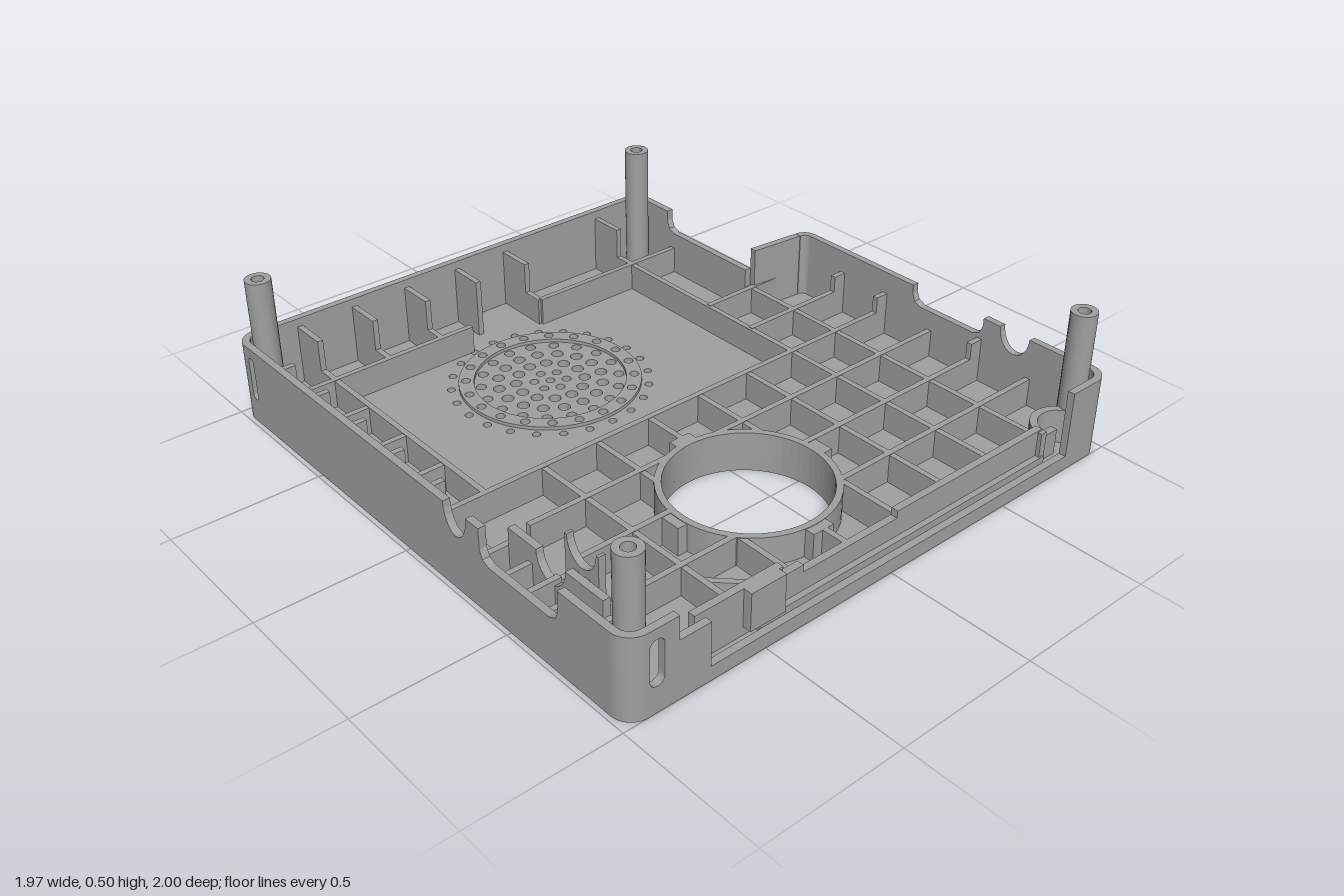
import * as THREE from 'three';

const FLOOR = 0.04, RIM = 0.28, T = 0.025, X = 0.985, RIB = 0.14;
const HOLE = { x: -0.135, z: 0.54, r: 0.26 };
const GRILLE = { x: -0.135, z: -0.435 };

export function createModel() {
  const model = new THREE.Group();
  model.name = 'enclosureHalf';
  const grey = new THREE.MeshStandardMaterial({ color: 0xa0a0a0 });
  grey.name = 'grey plastic';

  const add = (name, geometry) => {
    const mesh = new THREE.Mesh(geometry, grey);
    mesh.name = name;
    model.add(mesh);
    return mesh;
  };

  // Plan shape (x, z) raised from y0 to y1
  const slab = (name, shape, y0, y1, curveSegments = 12) => {
    const g = new THREE.ExtrudeGeometry(shape, { depth: y1 - y0, bevelEnabled: false, curveSegments });
    g.rotateX(Math.PI / 2).translate(0, y1, 0);
    return add(name, g);
  };
  const circle = (x, z, r) => new THREE.Path().absarc(x, z, r, 0, Math.PI * 2, false);
  const ring = (x, z, outer, inner) => {
    const s = new THREE.Shape().absarc(x, z, outer, 0, Math.PI * 2, false);
    s.holes.push(circle(x, z, inner));
    return s;
  };

  // Upright panel from a to b (x, z); top and slots are given along its length, thickness goes to the right of a->b
  const panel = (name, a, b, top, slots = [], base = FLOOR, thick = T) => {
    const dx = b[0] - a[0], dz = b[1] - a[1], len = Math.hypot(dx, dz);
    const pts = [[0, base], [0, top.start ?? RIM], ...top, [len, top.end ?? RIM], [len, base]];
    const s = new THREE.Shape(pts.map(p => new THREE.Vector2(p[0], p[1])));
    for (const [u, w] of slots) {
      const h = new THREE.Path(), r = w / 2;
      h.absarc(u, 0.245 - r, r, 0, Math.PI, false);
      h.absarc(u, 0.09 + r, r, Math.PI, Math.PI * 2, false);
      h.closePath();
      s.holes.push(h);
    }
    const m = add(name, new THREE.ExtrudeGeometry(s, { depth: thick, bevelEnabled: false }));
    m.position.set(a[0], 0, a[1]);
    m.rotation.y = Math.atan2(-dz, dx);
    return m;
  };
  // Curved cut in a panel's top edge
  const bite = (u0, u1, y, rim = RIM) => Array.from({ length: 13 }, (_, i) => {
    const t = Math.PI * i / 12;
    return [(u0 + u1) / 2 - (u1 - u0) / 2 * Math.cos(t), rim - (rim - y) * Math.sin(t)];
  });
  // Flat cut with rounded lower corners
  const dip = (u0, u1, y, r = 0.04) => [
    [u0, RIM], [u0, y + r], [u0 + r * 0.3, y + r * 0.3], [u0 + r, y],
    [u1 - r, y], [u1 - r * 0.3, y + r * 0.3], [u1, y + r], [u1, RIM]];

  // Floor with the round opening and the grille
  const floor = new THREE.Shape();
  floor.moveTo(-0.915, -1).lineTo(0.66, -1);
  floor.absarc(0.66, -0.93, 0.07, -Math.PI / 2, 0, false);
  floor.lineTo(0.73, -0.37).lineTo(0.935, -0.35);
  floor.absarc(0.935, -0.3, 0.05, -Math.PI / 2, 0, false);
  floor.absarc(0.915, 0.93, 0.07, 0, Math.PI / 2, false);
  floor.absarc(-0.915, 0.93, 0.07, Math.PI / 2, Math.PI, false);
  floor.absarc(-0.915, -0.93, 0.07, Math.PI, Math.PI * 1.5, false);
  floor.holes.push(new THREE.Path(circle(HOLE.x, HOLE.z, HOLE.r).getPoints(48)));
  const rings = [[0, 1, 0.016], [0.055, 6, 0.016], [0.117, 12, 0.021], [0.178, 16, 0.021],
    [0.235, 18, 0.018], [0.285, 20, 0.016], [0.335, 24, 0.014]];
  const grilleHoles = ([r, n, size]) => Array.from({ length: n }, (_, i) => {
    const a = Math.PI / 2 + i * Math.PI * 2 / n;
    return new THREE.Path(circle(GRILLE.x + r * Math.cos(a), GRILLE.z + r * Math.sin(a), size).getPoints(6));
  });
  rings.forEach(r => floor.holes.push(...grilleHoles(r)));
  slab('floor', floor, 0, FLOOR);

  // Raised band around the grille
  const band = ring(GRILLE.x, GRILLE.z, 0.31, 0.258);
  band.holes.push(...grilleHoles(rings[5]));
  slab('grilleBand', band, FLOOR, FLOOR + 0.012, 32);

  // Outer walls, clockwise seen from above
  panel('backWall', [-0.915, -1], [0.66, -1], [], [[0.03, 0.05]]);
  panel('notchSideWall', [0.73, -0.93], [0.73, -0.37],
    Object.assign([[0.13, RIM], [0.13, 0.24], [0.142, 0.212], [0.17, 0.2]], { end: 0.2 }));
  panel('notchWall', [0.73, -0.37], [0.935, -0.35], []);
  panel('leftWall', [X, -0.3], [X, 0.93], [...dip(0.5, 0.81, 0.21), ...bite(0.88, 1.0, 0.2)]);
  panel('frontWall', [0.915, 1], [-0.915, 1],
    [[0.115, RIM], [0.115, 0.05], [1.615, 0.05], [1.615, 0.2], [1.725, 0.2], [1.725, RIM]], [[1.8, 0.05]]);
  panel('rightWall', [-X, 0.93], [-X, -0.93],
    [...dip(0.21, 0.56, 0.17), ...bite(0.62, 0.73, 0.19)], [[1.83, 0.03]]);

  // Rounded corners of the outer wall
  for (const [x, z, r, a] of [[0.66, -0.93, 0.07, -0.5], [0.935, -0.3, 0.05, -0.5],
    [0.915, 0.93, 0.07, 0], [-0.915, 0.93, 0.07, 0.5], [-0.915, -0.93, 0.07, 1]]) {
    const s = new THREE.Shape(), a0 = a * Math.PI, a1 = a0 + Math.PI / 2;
    s.absarc(x, z, r, a0, a1, false);
    s.absarc(x, z, r - T, a1, a0, true);
    slab('wallCorner', s, FLOOR, RIM);
  }

  // Stepped ledges set back behind the low part of the front wall
  panel('frontLedge', [0.72, 0.975], [-0.5, 0.975], { ...[], start: 0.075, end: 0.075, *[Symbol.iterator]() {} }, [], FLOOR, 0.02);
  panel('frontInnerWall', [0.8, 0.955], [-0.72, 0.955],
    Object.assign([[0.08, 0.13], [0.08, 0.165], [0.74, 0.165], [0.74, RIB], [1.12, RIB], [1.12, 0.165],
      [1.2, 0.165], [1.2, 0.2]], { start: 0.13, end: 0.2 }));
  const box = (name, x, y, z, w, h, d) => add(name, new THREE.BoxGeometry(w, h, d).translate(x, y, z));
  box('frontCatch', -0.48, 0.135, 0.97, 0.13, 0.13, 0.03);

  // Corner posts with screw holes
  for (const [x, z] of [[-0.91, -0.925], [0.66, -0.925], [-0.91, 0.92], [0.91, 0.92]]) {
    const profile = [[0.02, 0.03], [0.043, 0.03], [0.043, 0.5], [0.02, 0.5], [0.02, 0.03]];
    const g = new THREE.CylinderGeometry(0.043, 0.043, 0.47, 24, 1, true);
    add('cornerPost', g.translate(x, 0.265, z));
    slab('postTop', ring(x, z, 0.043, 0.021), 0.42, 0.5, 24);
    const bore = new THREE.CircleGeometry(0.022, 16).rotateX(-Math.PI / 2);
    add('postBore', bore.translate(x, profile[2][1] - 0.06, z));
  }

  // Collar around the opening, with four small keys
  slab('openingCollar', ring(HOLE.x, HOLE.z, 0.282, HOLE.r), FLOOR, RIB, 32);
  for (let i = 0; i < 4; i++) {
    const a = i * Math.PI / 2, c = Math.cos(a), s = Math.sin(a);
    const w = 0.05 + 0.03 * Math.abs(s), d = 0.05 + 0.03 * Math.abs(c);
    box('collarKey', HOLE.x + 0.288 * c, 0.088, HOLE.z + 0.288 * s, w, 0.1, d);
  }

  // Straight ribs, interrupted where they cross the opening
  const W = 0.02;
  const ribX = (z, x0, x1, h = RIB, name = 'crossRib') => {
    const k = 0.272 ** 2 - (z - HOLE.z) ** 2, e = k > 0 ? Math.sqrt(k) : 0;
    const parts = e && x0 < HOLE.x && x1 > HOLE.x ? [[x0, HOLE.x - e], [HOLE.x + e, x1]] : [[x0, x1]];
    for (const [p, q] of parts) box(name, (p + q) / 2, (FLOOR + h) / 2, z, q - p, h - FLOOR, W);
  };
  const ribZ = (x, z0, z1, h = RIB - 0.002, name = 'lengthRib') => {
    const k = 0.272 ** 2 - (x - HOLE.x) ** 2, e = k > 0 ? Math.sqrt(k) : 0;
    const parts = e && z0 < HOLE.z && z1 > HOLE.z ? [[z0, HOLE.z - e], [HOLE.z + e, z1]] : [[z0, z1]];
    for (const [p, q] of parts) box(name, x, (FLOOR + h) / 2, (p + q) / 2, W, h - FLOOR, q - p);
  };

  // Frame around the speaker bay
  ribX(-0.77, -0.965, -0.22);
  ribX(-0.77, 0.08, 0.71);
  ribX(0.075, -0.965, 0.965);
  ribZ(-0.76, -0.98, 0.075);
  ribZ(0.505, -0.98, 0.94);

  // Grid of the front bay
  for (const z of [0.285, 0.5]) ribX(z, -0.76, 0.965);
  ribX(0.71, -0.85, 0.965);
  ribX(0.925, -0.72, 0.7, 0.12);
  for (const x of [-0.55, -0.34, -0.13, 0.08, 0.295]) ribZ(x, 0.075, 0.94);
  ribZ(0.715, -0.36, 0.94);
  for (const z of [-0.345, -0.13]) ribX(z, 0.505, 0.965);

  // Tall gussets on the back and side walls
  for (const x of [-0.76, -0.55, -0.34, -0.13, 0.08, 0.505]) ribZ(x, -0.98, -0.845, 0.25, 'backGusset');
  for (const x of [-0.55, -0.34, 0.08]) ribZ(x, -0.845, -0.77);
  for (const z of [-0.77, -0.56, -0.345, -0.135, 0.075]) {
    ribX(z, -0.965, -0.76, RIB - 0.004);
    ribX(z, -0.965, -0.9, 0.25, 'sideGusset');
  }
  for (const z of [-0.13, 0.075, 0.5]) ribX(z, 0.91, 0.965, 0.2, 'sideGusset');

  // Port bay inside the right wall, with two cable cradles
  const cradle = (x, z0, z1) => panel('portCradle', [x, z1], [x, z0],
    Object.assign(bite(z1 - 0.61, z1 - 0.48, 0.14, 0.22), { start: 0.22, end: 0.22 }));
  cradle(-0.875, 0.35, 0.77);
  cradle(-0.77, 0.47, 0.62);
  for (const z of [0.34, 0.45, 0.55, 0.65, 0.78]) ribX(z, -0.965, -0.85, 0.16, 'portRib');
  for (const z of [0.52, 0.57]) ribX(z, -0.85, -0.76, 0.12, 'portRib');
  box('portShelf', -0.91, 0.06, 0.27, 0.1, 0.04, 0.1);

  // Diagonal braces
  const brace = box('diagonalBrace', 0, 0.08, 0, 0.21, 0.08, W);
  brace.position.set(-0.47, 0, 0.845);
  brace.rotation.y = -Math.PI / 4;
  const hook = new THREE.Shape().absarc(0.8, 0.97, 0.1, Math.PI, Math.PI * 2, false);
  hook.absarc(0.8, 0.97, 0.075, Math.PI * 2, Math.PI, true);
  slab('cornerHook', hook, FLOOR, 0.16);

  return model;
}
